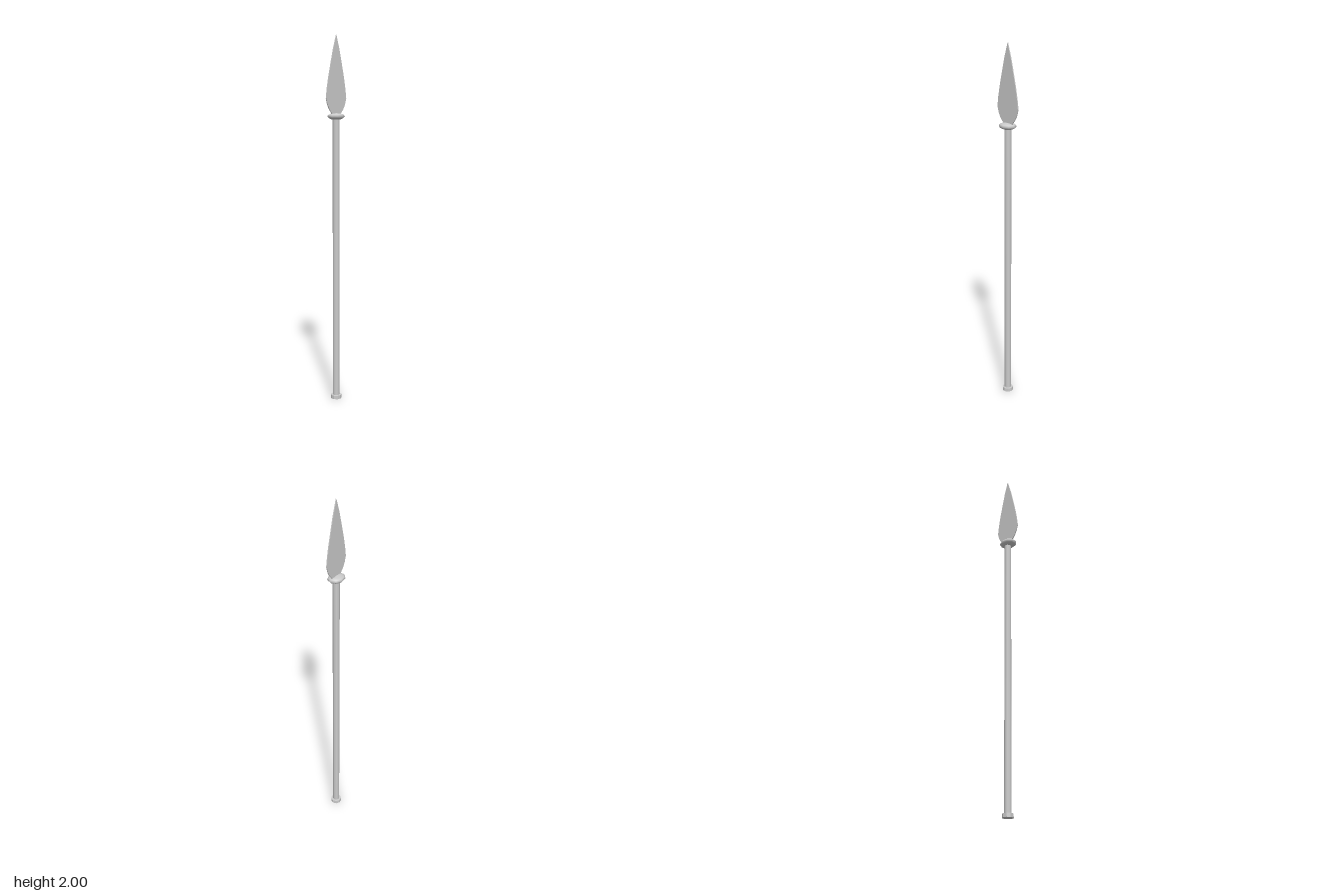
import * as THREE from 'three';

const SIDES = 9;

export function createModel() {
  const model = new THREE.Group();
  const grey = new THREE.MeshStandardMaterial({ color: 0xcccccc });
  const faceted = new THREE.MeshStandardMaterial({ color: 0xcccccc, flatShading: true });

  const add = (name, geometry, material) => {
    const mesh = new THREE.Mesh(geometry, material);
    mesh.name = name;
    model.add(mesh);
    return mesh;
  };
  // Nine-sided turned part with one corner on +x
  const turned = (name, profile, material) => add(name, new THREE.LatheGeometry(
    profile.map(([r, y]) => new THREE.Vector2(r, y)), SIDES, Math.PI / 2), material);

  // Long pole
  const pole = new THREE.CylinderGeometry(0.019, 0.019, 1.565, SIDES, 1, false, Math.PI / 2);
  pole.translate(0, 0.7875, 0);
  add('shaft', pole, grey);

  // Butt cap at the foot
  turned('buttCap', [[0, 0], [0.03, 0], [0.03, 0.02], [0, 0.022]], faceted);

  // Flattened oval collar under the blade
  const collar = turned('collar', [[0, 1.555], [0.028, 1.557], [0.045, 1.564], [0.053, 1.573],
    [0.047, 1.582], [0.03, 1.588], [0, 1.59]], grey);
  collar.scale.z = 0.82;
  collar.position.x = -0.002;

  // Thin leaf-shaped blade, mirrored from one edge: half width, height
  const edge = [[0.03, 1.575], [0.037, 1.59], [0.055, 1.61], [0.069, 1.635], [0.079, 1.668],
    [0.072, 1.72], [0.06, 1.78], [0.043, 1.85], [0.024, 1.925]];
  const outline = [...edge, [0, 2], ...edge.map(([w, y]) => [-w, y]).reverse()];
  const blade = new THREE.ExtrudeGeometry(
    new THREE.Shape(outline.map(([x, y]) => new THREE.Vector2(x, y))),
    { depth: 0.005, bevelEnabled: false });
  blade.translate(0, 0, -0.0025);
  add('blade', blade, faceted);

  return model;
}
